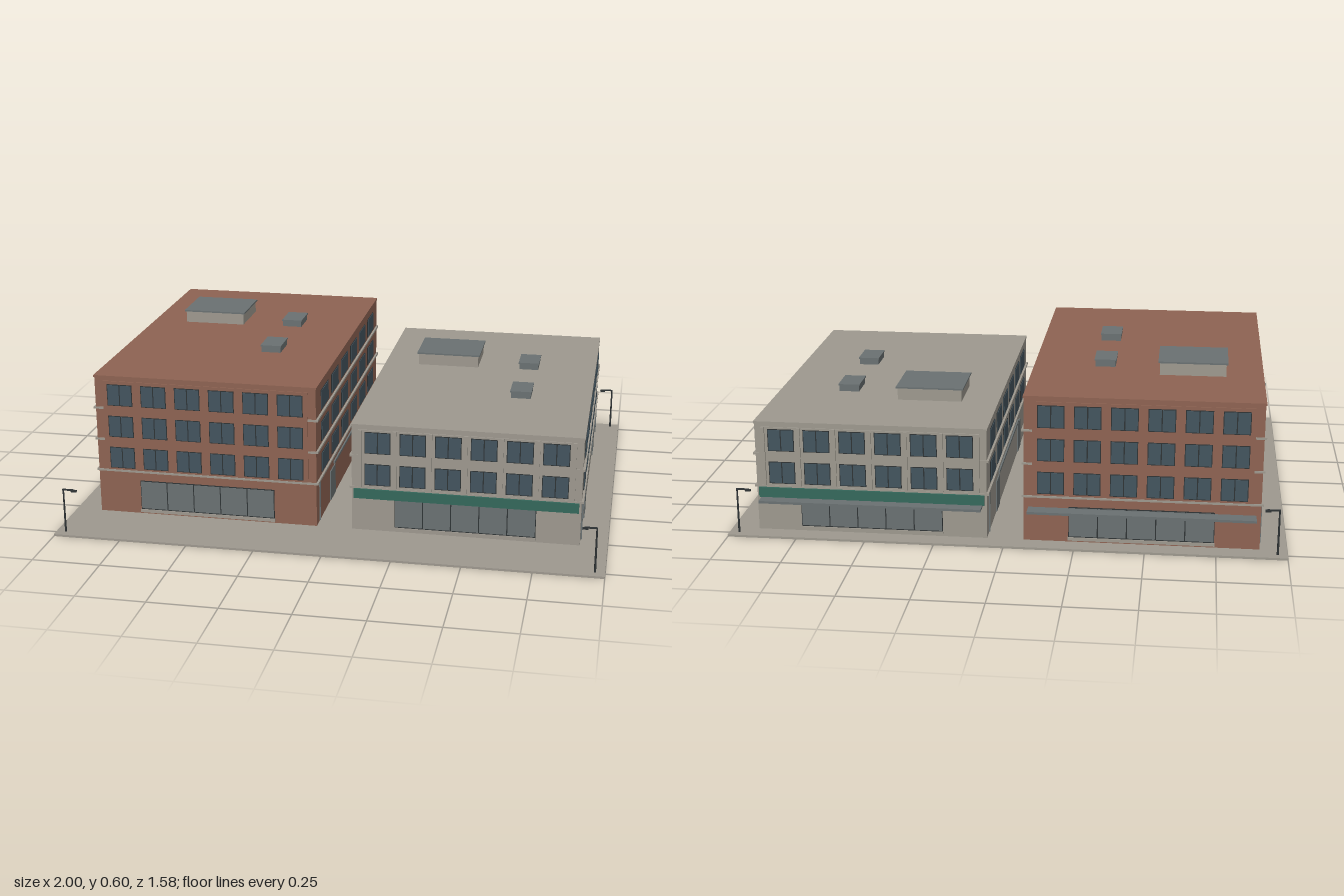
import * as THREE from 'three';

const mat = (name, color) => Object.assign(new THREE.MeshStandardMaterial({ color }), { name });

export function createModel() {
  const brick = mat('brick', 0x8f6453);
  const stone = mat('stone', 0x9f9a90);
  const glass = mat('window glass', 0x44555f);
  const metal = mat('grey metal', 0x6b7273);
  const green = mat('green sign', 0x35695c);
  const dark = mat('dark frame', 0x2f3436);

  // Box given by its min and max on each axis
  const box = (parent, name, m, x0, x1, y0, y1, z0, z1) => {
    const mesh = new THREE.Mesh(new THREE.BoxGeometry(x1 - x0, y1 - y0, z1 - z0), m);
    mesh.position.set((x0 + x1) / 2, (y0 + y1) / 2, (z0 + z1) / 2);
    mesh.name = name;
    parent.add(mesh);
    return mesh;
  };

  const W = 0.418, D = 0.63; // half width and half depth of a building

  // Front or rear face, built looking along +z with the wall at z = 0
  function facade(floors, top, wall, isStone) {
    const g = new THREE.Group();
    box(g, 'facadePanel', wall, -0.388, 0.388, 0.18, top - 0.02, -0.005, 0.004);
    for (let f = 0; f < floors; f++) {
      const y = 0.19 + f * 0.123;
      for (let i = 0; i < 6; i++) {
        const x = (i - 2.5) * 0.129;
        box(g, 'windowFrame', dark, x - 0.048, x + 0.048, y - 0.003, y + 0.08, 0, 0.005);
        for (const s of [-1, 1]) {
          const c = x + s * 0.0235;
          box(g, 'windowPane', glass, c - 0.0215, c + 0.0215, y, y + 0.077, 0, 0.0065);
        }
      }
    }
    // Slim piers between the windows of the stone building
    if (isStone) {
      for (let i = 0; i < 7; i++) {
        const x = (i - 3) * 0.129;
        box(g, 'pier', stone, x - 0.006, x + 0.006, 0.18, top - 0.02, 0, 0.01);
      }
      box(g, 'signBand', green, -0.41, 0.41, 0.135, 0.172, 0, 0.01);
    }
    // Shopfront with five bays
    box(g, 'shopfrontFrame', dark, -0.258, 0.258, 0.018, 0.14, 0, 0.003);
    for (let i = 0; i < 5; i++) {
      const x = (i - 2) * 0.103;
      box(g, 'shopfrontPane', metal, x - 0.0495, x + 0.0495, 0.03, 0.137, 0, 0.005);
    }
    box(g, 'shopfrontSill', stone, -0.26, 0.26, 0.014, 0.026, 0, 0.007);
    return g;
  }

  // Side face, built facing +x with the wall at x = 0
  function side(floors) {
    const g = new THREE.Group();
    for (let f = 0; f < floors; f++) {
      const y = 0.19 + f * 0.123;
      for (let i = 0; i < 6; i++) {
        const z = 0.388 - i * 0.19;
        box(g, 'sideWindowFrame', dark, -0.002, 0.002, y - 0.002, y + 0.074, z - 0.064, z + 0.064);
        box(g, 'sideWindow', glass, -0.002, 0.004, y, y + 0.072, z - 0.061, z + 0.061);
      }
    }
    for (const z of [0.251, -0.425])
      box(g, 'sideDoor', metal, -0.002, 0.004, 0.012, 0.13, z - 0.045, z + 0.045);
    for (const z of [0.49, -0.667])
      box(g, 'downpipe', metal, 0, 0.005, 0.012, 0.165, z - 0.003, z + 0.003);
    box(g, 'sideLedge', metal, 0, 0.006, 0.137, 0.147, -0.4, 0.225);
    return g;
  }

  function building(name, cx, floors, top, wall) {
    const g = new THREE.Group();
    g.name = name;
    g.position.x = cx;
    const zc = -0.09;
    box(g, 'walls', wall, -W, W, 0.004, top, zc - D, zc + D);
    // Floor bands
    for (let f = 0; f < floors; f++) {
      const y = 0.175 + f * 0.123;
      box(g, 'floorBand', stone, -W - 0.008, W + 0.008, y - 0.004, y + 0.004, zc - D - 0.003, zc + D + 0.003);
    }
    box(g, 'roofEdge', wall, -W - 0.003, W + 0.003, top - 0.008, top, zc - D - 0.003, zc + D + 0.003);

    const front = facade(floors, top, wall, wall === stone);
    front.name = 'frontFacade';
    front.position.z = zc + D;
    const back = facade(floors, top, wall, wall === stone);
    back.name = 'backFacade';
    back.rotation.y = Math.PI;
    back.position.z = zc - D;
    // Rear canopy
    box(g, 'rearCanopy', metal, -0.402, 0.402, 0.126, 0.135, -0.772, -0.715);
    g.add(front, back);

    const sideA = side(floors);
    sideA.name = 'leftSide';
    sideA.position.x = W;
    const sideB = side(floors);
    sideB.name = 'rightSide';
    sideB.rotation.y = Math.PI;
    sideB.position.set(-W, 0, -0.174); // keeps openings aligned on both sides
    g.add(sideA, sideB);

    // Roof penthouse and ventilation units
    box(g, 'penthouse', stone, -0.285, -0.045, top, top + 0.045, -0.415, -0.21);
    box(g, 'penthouseRoof', metal, -0.291, -0.039, top + 0.045, top + 0.051, -0.42, -0.205);
    for (const z of [-0.275, 0.09]) {
      box(g, 'roofUnit', metal, 0.12, 0.195, top, top + 0.023, z - 0.056, z + 0.056);
      box(g, 'roofUnitLid', metal, 0.117, 0.198, top + 0.023, top + 0.028, z - 0.06, z + 0.06);
    }
    return g;
  }

  const root = new THREE.Group();
  root.name = 'twoBuildings';
  box(root, 'pavement', stone, -1, 1, 0, 0.008, -0.79, 0.79);
  root.add(building('brickBuilding', -0.485, 3, 0.548, brick));
  root.add(building('stoneBuilding', 0.483, 2, 0.42, stone));

  // Corner street lamps with arms pointing inward
  for (const sx of [-1, 1]) {
    for (const z of [-0.76, 0.757]) {
      const lamp = new THREE.Group();
      lamp.name = 'streetLamp';
      lamp.position.set(sx * 0.965, 0, z);
      const post = new THREE.Mesh(new THREE.CylinderGeometry(0.003, 0.004, 0.17, 8), dark);
      post.name = 'lampPost';
      post.position.y = 0.09;
      lamp.add(post);
      const arm = box(lamp, 'lampArm', dark, -0.023, 0.023, 0.171, 0.176, -0.003, 0.003);
      arm.position.x = -sx * 0.02;
      const head = box(lamp, 'lampHead', dark, -0.01, 0.01, 0.167, 0.173, -0.005, 0.005);
      head.position.x = -sx * 0.04;
      root.add(lamp);
    }
  }
  return root;
}
